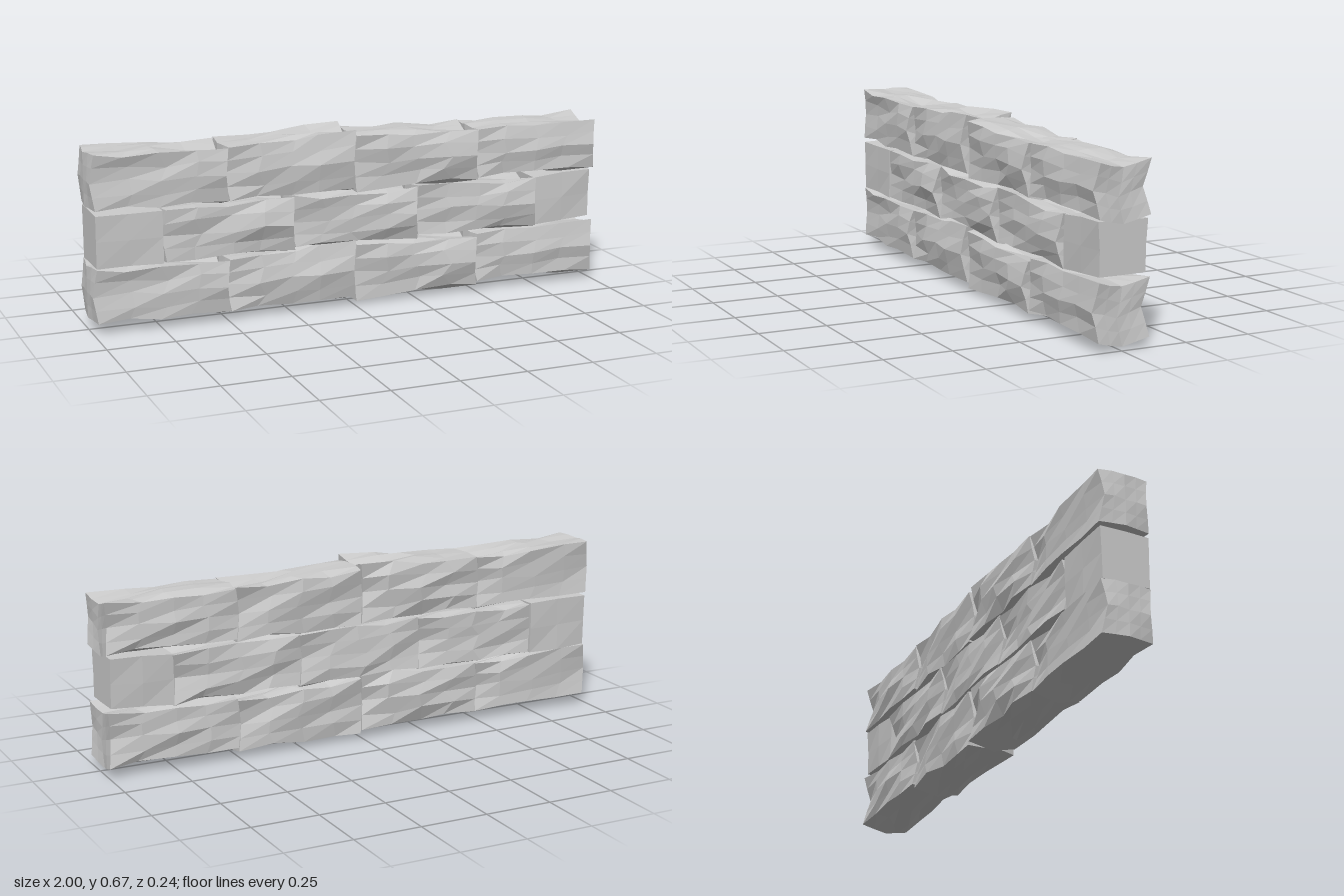
import * as THREE from 'three';

const material = new THREE.MeshStandardMaterial({ color: 0xcccccc, flatShading: true });

// Repeatable noise in -1..1 for a lattice corner
function noise(i, j, k, seed) {
  const s = Math.sin(i * 127.1 + j * 311.7 + k * 74.7 + seed * 53.3) * 43758.5453;
  return 2 * (s - Math.floor(s)) - 1;
}

// Stone block given by its ends and by its top and bottom heights at each end
function makeStone(name, [x0, x1, topL, topR, botL, botR, belly = 0, sag = 0], seed, rough) {
  const nx = rough ? 4 : 2, n = rough ? 4 : 2;
  const geo = new THREE.BoxGeometry(1, 1, 1, nx, n, n);
  const p = geo.attributes.position;
  const { lerp, clamp } = THREE.MathUtils;
  for (let a = 0; a < p.count; a++) {
    const u = p.getX(a) + 0.5, v = p.getY(a) * 2, w = p.getZ(a) * 2;
    const i = Math.round(u * nx), j = Math.round((v + 1) * n / 2), k = Math.round((w + 1) * n / 2);
    const top = lerp(topL, topR, u), bot = lerp(botL, botR, u);
    const inside = i > 0 && i < nx;
    const chip = !rough ? 0.004 : inside ? 0.009 : 0.004;
    let x = lerp(x0, x1, u);
    let y = lerp(bot, top, (v + 1) / 2) + chip * noise(i, j, k, seed);
    let z = -0.008 + w * (rough ? 0.094 : 0.091) + chip * noise(i, j, k, seed + 7);
    if (rough) {
      const midY = 1 - Math.abs(v), midZ = 1 - Math.abs(w);
      // Right end sags and leans forward, left end has a narrow waist
      const right = Math.max(0, 2 * u - 1), left = Math.max(0, 1 - 2 * u);
      y -= 0.028 * right * midZ;
      z += (0.024 * right - 0.014 * left * w) * midY;
      if (inside) {
        // Long faces swell a little, and their edges are worn round
        z += w * (0.008 + belly) * midY;
        y -= sag * midZ + (Math.abs(v) === 1 && Math.abs(w) === 1 ? v * 0.006 : 0);
        x += 0.022 * noise(i, j, k, seed + 13);
      } else {
        // Matching curve on both ends keeps the joints tight
        x += 0.006 - 0.015 * (1 - Math.abs(v * w));
      }
    }
    p.setXYZ(a, clamp(x, -1, 1), clamp(y, 0, 0.675), clamp(z, -0.122, 0.125));
  }
  geo.computeVertexNormals();
  const mesh = new THREE.Mesh(geo, material);
  mesh.name = name;
  return mesh;
}

export function createModel() {
  const wall = new THREE.Group();
  wall.name = 'stoneWall';

  // Each stone: left x, right x, top left, top right, bottom left, bottom right, swelling, sag
  const courses = {
    bottomCourse: [
      [-0.991, -0.497, 0.240, 0.228, 0.042, 0.034],
      [-0.493, -0.003, 0.228, 0.252, 0.036, 0.034, 0.012, 0.008],
      [0.002, 0.496, 0.235, 0.218, 0.018, 0.026],
      [0.500, 0.995, 0.226, 0.240, 0.038, 0.036],
    ],
    middleCourse: [
      [-0.985, -0.738, 0.438, 0.436, 0.245, 0.237],
      [-0.733, -0.244, 0.432, 0.440, 0.243, 0.242],
      [-0.241, 0.248, 0.440, 0.432, 0.246, 0.238],
      [0.252, 0.746, 0.436, 0.426, 0.246, 0.238],
      [0.748, 0.985, 0.426, 0.438, 0.238, 0.252],
    ],
    topCourse: [
      [-0.991, -0.497, 0.656, 0.645, 0.455, 0.448],
      [-0.493, -0.003, 0.645, 0.672, 0.450, 0.448, 0.008],
      [0.002, 0.496, 0.650, 0.638, 0.438, 0.440],
      [0.500, 0.995, 0.634, 0.638, 0.446, 0.450],
    ],
  };

  for (const [name, stones] of Object.entries(courses)) {
    const course = new THREE.Group();
    course.name = name;
    stones.forEach((s, c) => {
      // Short end stones are cut almost plain
      const rough = s[1] - s[0] > 0.4;
      const seed = name === 'middleCourse' ? c + 20 : c + 1;
      course.add(makeStone(rough ? 'longStone' : 'endStone', s, seed, rough));
    });
    wall.add(course);
  }
  return wall;
}
